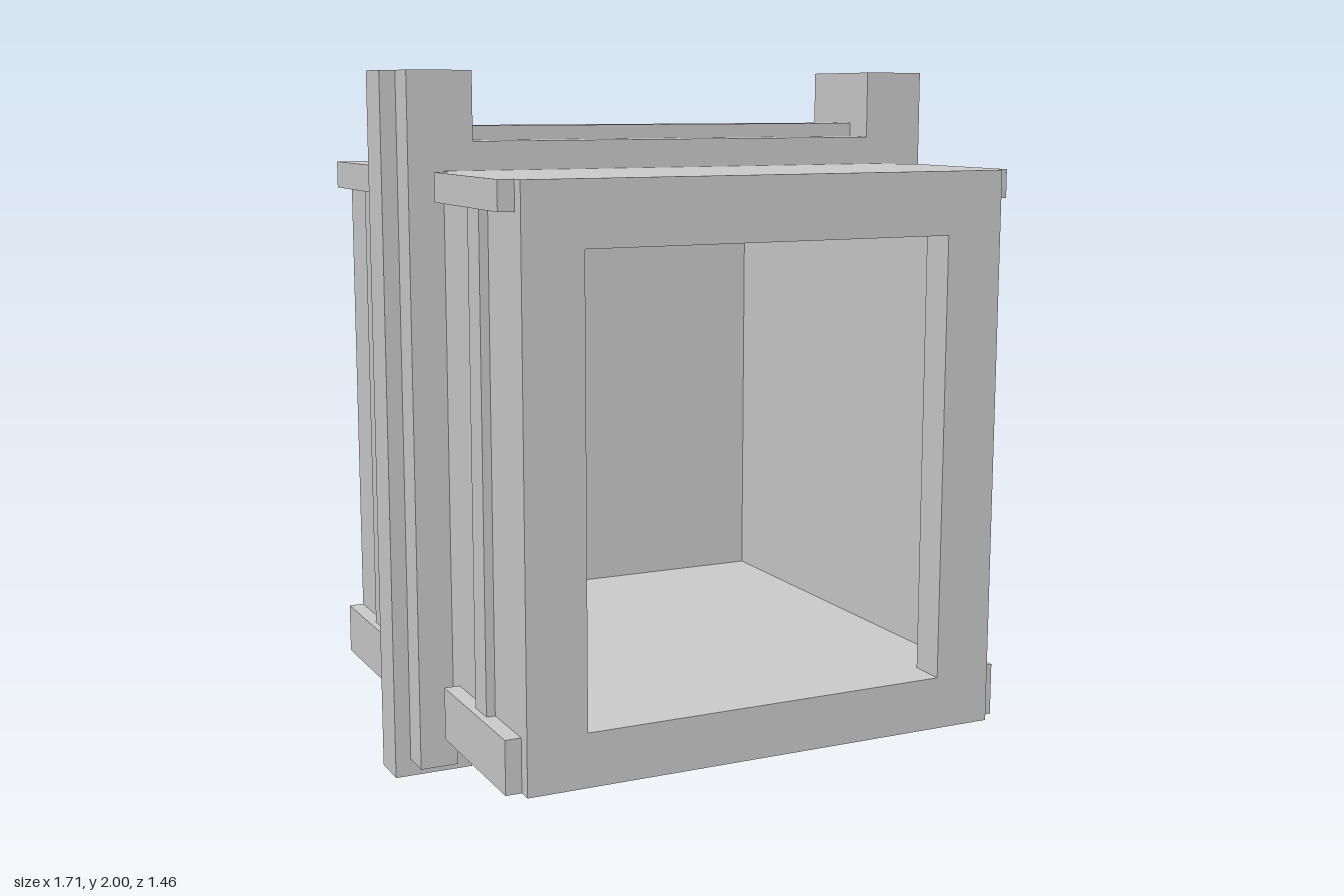
import * as THREE from 'three';

const material = new THREE.MeshStandardMaterial({ color: 0xcccccc, flatShading: true });

function add(parent, name, geometry) {
  const mesh = new THREE.Mesh(geometry, material);
  mesh.name = name;
  parent.add(mesh);
  return mesh;
}

// Box given by its limits on each axis
function block(parent, name, [x0, x1], [y0, y1], [z0, z1]) {
  const mesh = add(parent, name, new THREE.BoxGeometry(x1 - x0, y1 - y0, z1 - z0));
  mesh.position.set((x0 + x1) / 2, (y0 + y1) / 2, (z0 + z1) / 2);
  return mesh;
}

function rectangle(path, halfWidth, y0, y1) {
  path.moveTo(-halfWidth, y0);
  path.lineTo(halfWidth, y0);
  path.lineTo(halfWidth, y1);
  path.lineTo(-halfWidth, y1);
  path.closePath();
  return path;
}

// Rectangular ring extruded along z
function ring(parent, name, holeHalfWidth, z0, z1) {
  const shape = rectangle(new THREE.Shape(), 0.71, 0.15, 1.73);
  shape.holes.push(rectangle(new THREE.Path(), holeHalfWidth, 0.3, 1.555));
  const geometry = new THREE.ExtrudeGeometry(shape, { depth: z1 - z0, bevelEnabled: false });
  add(parent, name, geometry).position.z = z0;
}

export function createModel() {
  const model = new THREE.Group();
  model.name = 'openContainer';

  // Hollow body: narrower front frame, wider cavity, closed back
  const body = new THREE.Group();
  body.name = 'body';
  model.add(body);
  ring(body, 'frontFrame', 0.54, 0.62, 0.725);
  ring(body, 'shell', 0.67, -0.7, 0.62);
  block(body, 'backPanel', [-0.71, 0.71], [0.15, 1.73], [-0.73, -0.7]);

  // Stepped beam across the top
  block(model, 'topBeam', [-0.625, 0.625], [1.73, 1.81], [-0.155, 0.155]);
  block(model, 'topRidge', [-0.625, 0.625], [1.81, 1.85], [-0.06, 0.06]);

  for (const side of [1, -1]) {
    const group = new THREE.Group();
    group.name = side > 0 ? 'leftSide' : 'rightSide';
    // Half a turn mirrors x; z limits are turned back with it
    group.rotation.y = side > 0 ? 0 : Math.PI;
    model.add(group);
    const depth = (a, b) => (side > 0 ? [a, b] : [-b, -a]);

    // Post with an outer tongue, extruded upwards from its plan
    const plan = new THREE.Shape([
      [0.7, -0.155], [0.81, -0.155], [0.81, -0.06], [0.855, -0.06],
      [0.855, 0.06], [0.81, 0.06], [0.81, 0.155], [0.7, 0.155],
    ].map(([x, z]) => new THREE.Vector2(x, z)));
    const post = new THREE.ExtrudeGeometry(plan, { depth: 1.95, bevelEnabled: false });
    post.rotateX(-Math.PI / 2);
    add(group, 'post', post).position.y = 0.05;
    block(group, 'postHead', [0.625, 0.7], [1.73, 2], [-0.155, 0.155]);
    block(group, 'foot', [0.625, 0.855], [0, 0.05], [-0.06, 0.06]);

    // Edge rails and upright rib, before and behind the post
    for (const [rail, rib] of [
      [depth(0.21, 0.685), depth(0.41, 0.495)],
      [depth(-0.73, -0.205), depth(-0.505, -0.42)],
    ]) {
      block(group, 'upperRail', [0.71, 0.755], [1.65, 1.73], rail);
      block(group, 'lowerRail', [0.71, 0.755], [0.15, 0.3], rail);
      block(group, 'rib', [0.71, 0.735], [0.3, 1.65], rib);
    }
  }
  return model;
}
